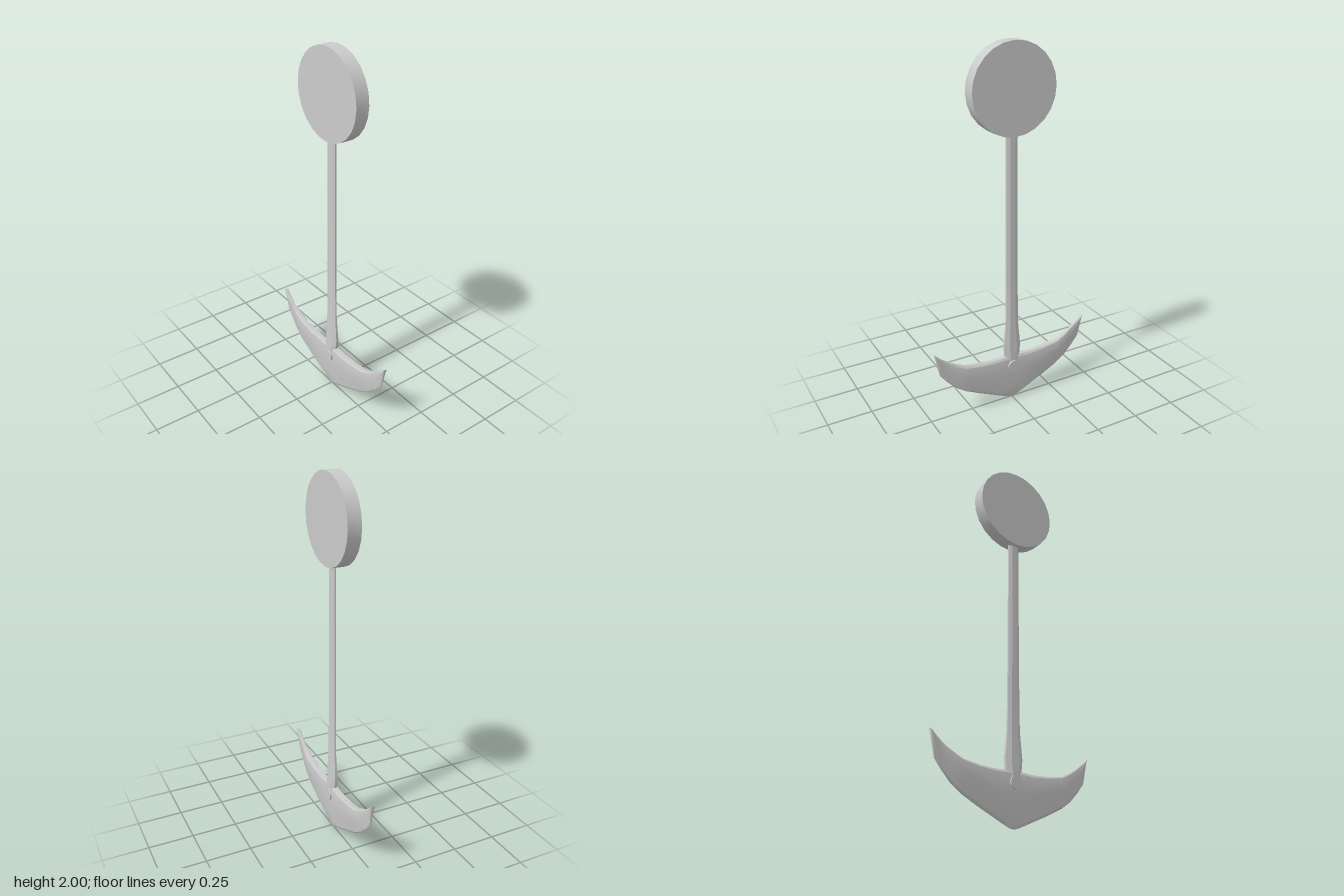
import * as THREE from 'three';
import { toCreasedNormals } from 'three/addons/utils/BufferGeometryUtils.js';

const material = new THREE.MeshStandardMaterial({ color: 0xcccccc });

function part(name, geometry) {
  const mesh = new THREE.Mesh(geometry, material);
  mesh.name = name;
  return mesh;
}

// Skins a list of equal-length point loops and caps both ends.
// Loops run counter-clockwise when seen from the last loop's side.
function loft(rings, crease) {
  const n = rings[0].length, positions = rings.flat(2), index = [];
  for (let i = 0; i < rings.length - 1; i++) {
    for (let j = 0; j < n; j++) {
      const a = i * n + j, b = i * n + (j + 1) % n;
      index.push(a, b, b + n, a, b + n, a + n);
    }
  }
  const last = (rings.length - 1) * n;
  for (let j = 1; j < n - 1; j++) {
    index.push(0, j + 1, j, last, last + j, last + j + 1);
  }
  const geometry = new THREE.BufferGeometry();
  geometry.setAttribute('position', new THREE.Float32BufferAttribute(positions, 3));
  geometry.setIndex(index);
  return toCreasedNormals(geometry, crease);
}

// Round plate facing front and back
function disc(radius, depth, sides) {
  const geometry = new THREE.CylinderGeometry(radius, radius, depth, sides);
  return toCreasedNormals(geometry.rotateX(Math.PI / 2), 0.6);
}

// Crescent blade: each station joins an upper and a lower outline point
function bladeGeometry() {
  // [upper x, upper y, lower x, lower y, half thickness]
  const half = [
    [0.04, 0.274, 0.025, 0.005, 0.022],
    [0.08, 0.271, 0.06, 0.020, 0.022],
    [0.12, 0.270, 0.11, 0.043, 0.022],
    [0.20, 0.275, 0.20, 0.084, 0.022],
    [0.29, 0.289, 0.29, 0.129, 0.022],
    [0.34, 0.313, 0.35, 0.172, 0.018],
    [0.385, 0.339, 0.40, 0.224, 0.010],
    [0.425, 0.370, 0.44, 0.275, 0.010],
    [0.450, 0.392, 0.453, 0.338, 0.011],
    [0.466, 0.406, 0.466, 0.402, 0.011],
  ];
  const mirrored = half.map(([a, b, c, d, t]) => [-a, b, -c, d, t]).reverse();
  const stations = [...mirrored, [0, 0.276, 0, 0, 0.022], ...half];

  // [fraction from upper to lower edge, share of the thickness]
  const profile = [[0, 0.55], [0.05, 0.85], [0.2, 1], [0.42, 0.95], [0.7, 0.68], [0.94, 0.42], [1, 0.1]];
  const section = [...profile, ...profile.map(([v, z]) => [v, -z]).reverse()];
  const rings = stations.map(([ux, uy, lx, ly, t]) => section.map(([v, z]) => [
    ux + (lx - ux) * v, uy + (ly - uy) * v, z * t,
  ]));
  return loft(rings, 0.36);
}

// Flattened eight-sided shaft, swelling above its lower end
function shaftGeometry() {
  // [height, half width, half depth]
  const levels = [
    [0.195, 0.022, 0.022], [0.225, 0.034, 0.024],
    [0.27, 0.043, 0.024], [0.335, 0.050, 0.020], [0.40, 0.044, 0.018],
    [0.48, 0.037, 0.014], [0.75, 0.034, 0.013], [1.56, 0.031, 0.013],
  ];
  const section = [
    [1, -0.35], [0.45, -1], [-0.45, -1], [-1, -0.35],
    [-1, 0.35], [-0.45, 1], [0.45, 1], [1, 0.35],
  ];
  const rings = levels.map(([y, w, d]) => section.map(([x, z]) => [x * w, y, z * d]));
  return loft(rings, 0.3);
}

export function createModel() {
  const model = new THREE.Group();
  model.name = 'pendulum';

  const plate = part('roundPlate', disc(0.234, 0.074, 24));
  plate.position.y = 1.766;

  const pin = part('pivotPin', disc(0.034, 0.062, 16));
  pin.position.y = 0.216;

  model.add(plate, pin, part('shaft', shaftGeometry()), part('blade', bladeGeometry()));
  return model;
}
